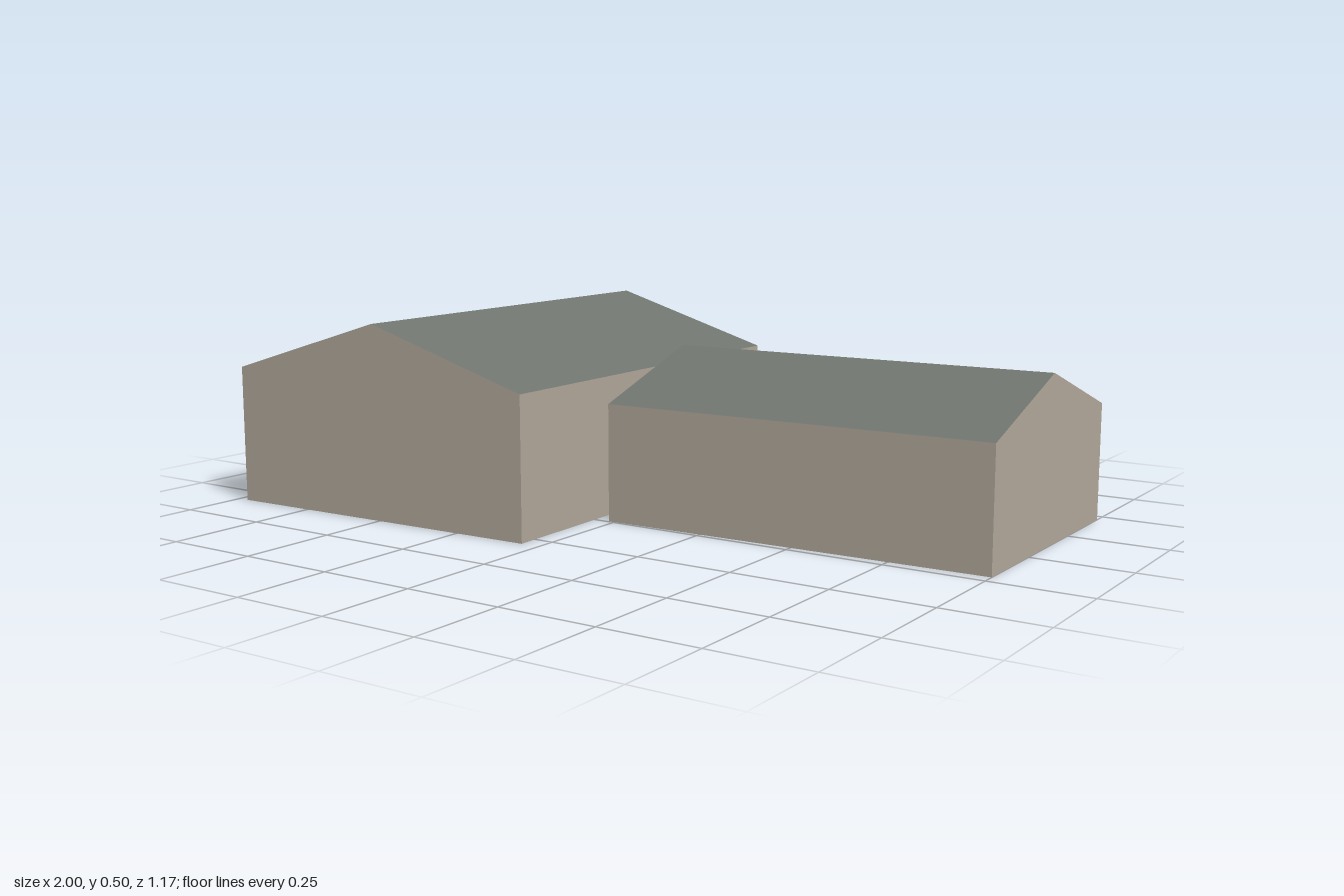
import * as THREE from 'three';

// Flat-shaded surface from convex polygons, each wound counter-clockwise from outside
function faces(polygons) {
  const points = [];
  for (const p of polygons) {
    for (let i = 1; i < p.length - 1; i++) points.push(p[0], p[i], p[i + 1]);
  }
  const geometry = new THREE.BufferGeometry().setFromPoints(points);
  geometry.computeVertexNormals();
  return geometry;
}

// Open-bottomed gabled building. Corners are [x, z], counter-clockwise from above,
// and the gables stand on the edges a-b and c-d.
function gabledBuilding(name, corners, eave, ridge, wallMaterial, roofMaterial) {
  const at = ([x, z], y) => new THREE.Vector3(x, y, z);
  const [a, b, c, d] = corners.map((p) => at(p, 0));
  const [A, B, C, D] = corners.map((p) => at(p, eave));
  const top = (p, q) => p.clone().lerp(q, 0.5).setY(ridge);
  const R = top(A, B), S = top(C, D);

  const walls = new THREE.Mesh(
    faces([[a, b, B, R, A], [b, c, C, B], [c, d, D, S, C], [d, a, A, D]]), wallMaterial);
  walls.name = name + 'Walls';
  const roof = new THREE.Mesh(faces([[B, C, S, R], [D, A, R, S]]), roofMaterial);
  roof.name = name + 'Roof';

  const group = new THREE.Group();
  group.name = name;
  group.add(walls, roof);
  return group;
}

export function createModel() {
  const wall = new THREE.MeshStandardMaterial({ color: 0xb0a698, side: THREE.DoubleSide });
  wall.name = 'beige wall';
  const roof = new THREE.MeshStandardMaterial({ color: 0x70756f, side: THREE.DoubleSide });
  roof.name = 'grey roof';

  const model = new THREE.Group();
  model.name = 'buildings';
  // Large hall, ridge running front to back
  model.add(gabledBuilding('largeHall',
    [[-0.97, 0.583], [-0.05, 0.553], [-0.08, -0.583], [-1, -0.553]], 0.36, 0.5, wall, roof));
  // Small hall, ridge running side to side
  model.add(gabledBuilding('smallHall',
    [[1, 0.214], [1, -0.46], [-0.017, -0.43], [-0.017, 0.246]], 0.3, 0.415, wall, roof));
  return model;
}
